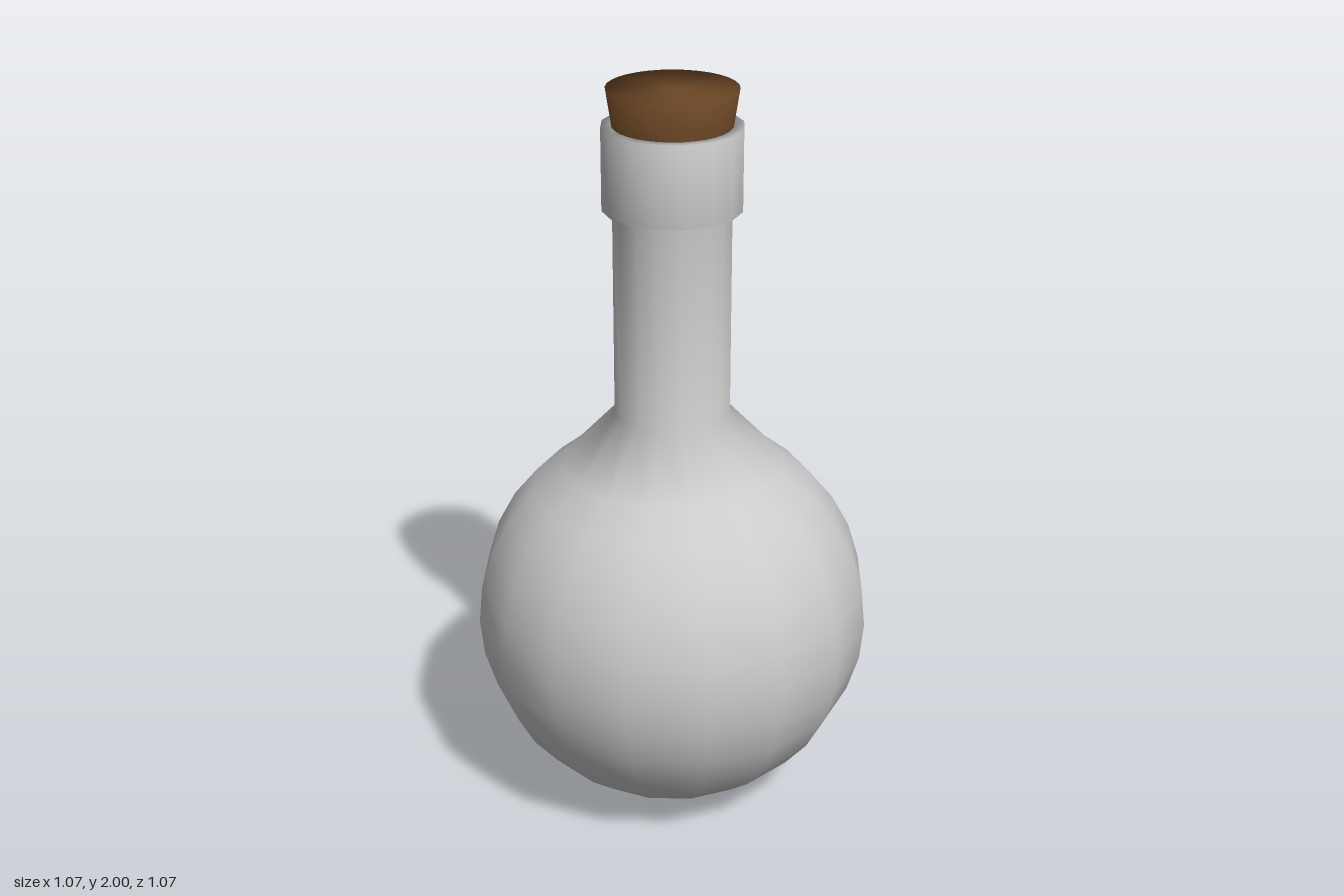
import * as THREE from 'three';

const lathe = (name, points, sides, color) => {
  const geometry = new THREE.LatheGeometry(points.map(([r, y]) => new THREE.Vector2(r, y)), sides);
  const mesh = new THREE.Mesh(geometry, new THREE.MeshStandardMaterial({ color }));
  mesh.name = name;
  return mesh;
};

export function createModel() {
  const group = new THREE.Group();
  group.name = 'corkedFlask';

  // Round belly: 11.25 degree steps from the base up to the shoulder
  const radius = 0.535, profile = [];
  for (let i = -8; i <= 5; i++) {
    const a = i * Math.PI / 16;
    profile.push([Math.max(radius * Math.cos(a), 0), radius * (1 + Math.sin(a))]);
  }

  // Straight neck, thick collar and the bore that holds the stopper
  profile.push(
    [0.155, 1.13], [0.155, 1.69],
    [0.182, 1.69], [0.182, 1.905],
    [0.14, 1.905], [0.13, 1.7]
  );
  group.add(lathe('flask', profile, 16, 0xcccccc));

  // Tapered stopper, wider at the top
  group.add(lathe('cork', [[0, 1.7], [0.122, 1.7], [0.168, 2], [0, 2]], 32, 0x6b4625));

  return group;
}
